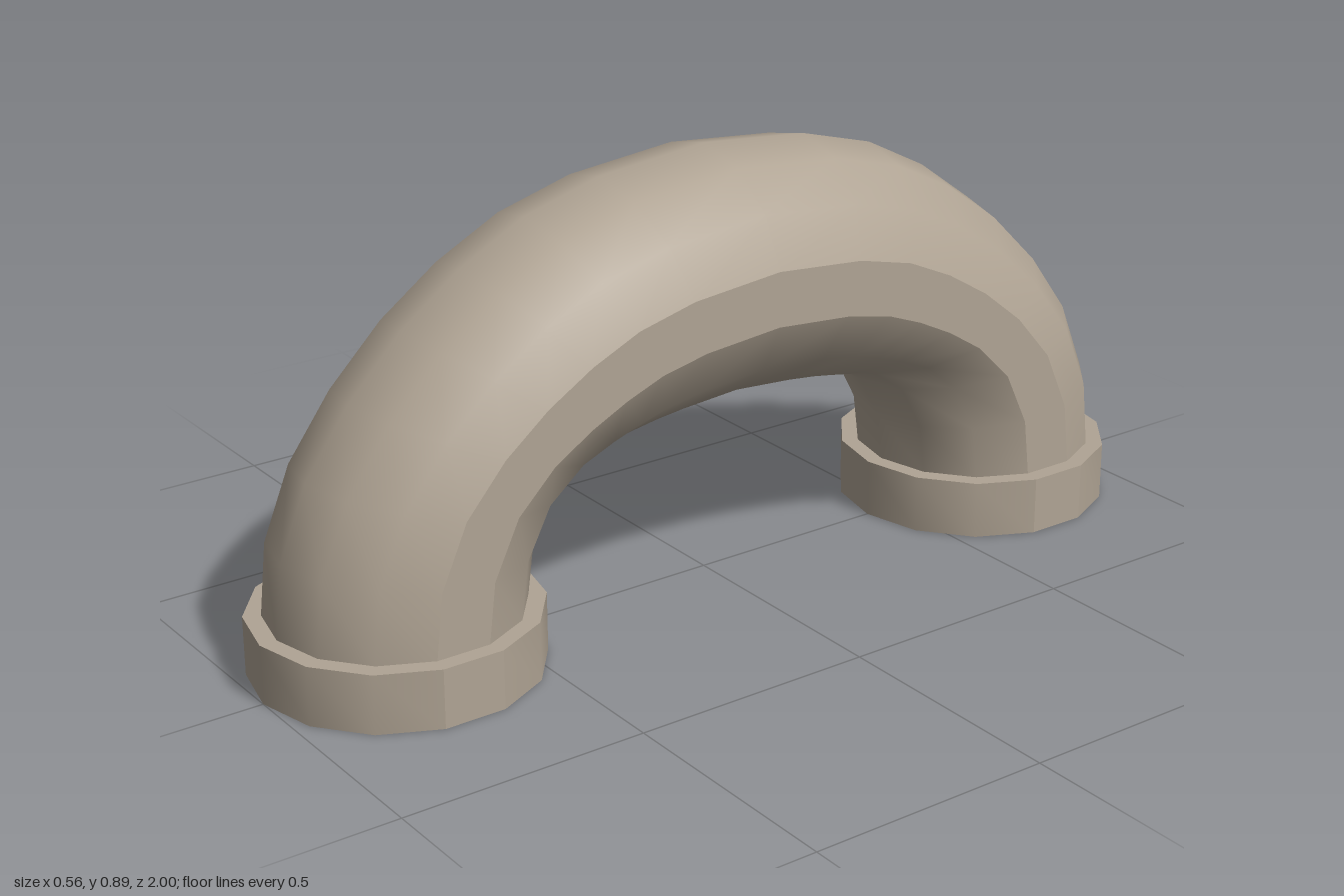
import * as THREE from 'three';

const SIDES = 14;
const END_Z = 0.715;
const COLLAR_TOP = 0.12;

// Surface through tilted rings { z, y, tilt }, limited to the sides from k0 to k1.
function loftStrip(rings, radius, k0, k1) {
  const pos = [], index = [], n = k1 - k0 + 1;
  rings.forEach(({ z, y, tilt }, i) => {
    for (let k = k0; k <= k1; k++) {
      const a = (k / SIDES) * Math.PI * 2;
      const out = Math.cos(a) * radius;
      pos.push(Math.sin(a) * radius, y + out * Math.sin(tilt), z + out * Math.cos(tilt));
      if (i + 1 < rings.length && k < k1) {
        const p = i * n + k - k0, q = p + n;
        index.push(p, p + 1, q, p + 1, q + 1, q);
      }
    }
  });
  const geo = new THREE.BufferGeometry();
  geo.setAttribute('position', new THREE.Float32BufferAttribute(pos, 3));
  geo.setIndex(index);
  geo.computeVertexNormals();
  return geo;
}

// Outer and inner halves are smooth; the two side facets stay crisp.
function loft(name, rings, radius, material) {
  const group = new THREE.Group();
  group.name = name;
  const strips = [['Outer', -3, 3], ['LeftSide', 3, 4], ['Inner', 4, 10], ['RightSide', 10, 11]];
  for (const [label, k0, k1] of strips) {
    const mesh = new THREE.Mesh(loftStrip(rings, radius, k0, k1), material);
    mesh.name = name + label;
    group.add(mesh);
  }
  return group;
}

export function createModel() {
  const model = new THREE.Group();
  model.name = 'pipeBend';
  const clay = new THREE.MeshStandardMaterial({ color: 0xb0a494 });
  clay.name = 'warm grey';

  // Arched pipe: ring centres and tilt in degrees for the front half, then mirrored
  const half = [
    [END_Z, 0.12, 0], [0.7, 0.245, 5], [0.645, 0.364, 11], [0.563, 0.452, 21],
    [0.476, 0.515, 35], [0.388, 0.564, 48.5], [0.296, 0.603, 62.5], [0.183, 0.629, 76],
  ];
  const path = [
    ...half,
    [0, 0.645, 90],
    ...half.map(([z, y, t]) => [-z, y, 180 - t]).reverse(),
  ].map(([z, y, t]) => ({ z, y, tilt: THREE.MathUtils.degToRad(t) }));
  model.add(loft('pipe', path, 0.25, clay));

  // Collars at both ends, closed above and below
  for (const [name, s] of [['frontCollar', 1], ['backCollar', -1]]) {
    const rings = [0, COLLAR_TOP].map((y) => ({ z: s * END_Z, y, tilt: 0 }));
    const collar = loft(name, rings, 0.285, clay);
    for (const [label, y, turn] of [['Top', COLLAR_TOP, -1], ['Base', 0, 1]]) {
      const geo = new THREE.CircleGeometry(0.285, SIDES, Math.PI / 2);
      geo.rotateX((turn * Math.PI) / 2);
      const cap = new THREE.Mesh(geo, clay);
      cap.name = name + label;
      cap.position.set(0, y, s * END_Z);
      collar.add(cap);
    }
    model.add(collar);
  }
  return model;
}
